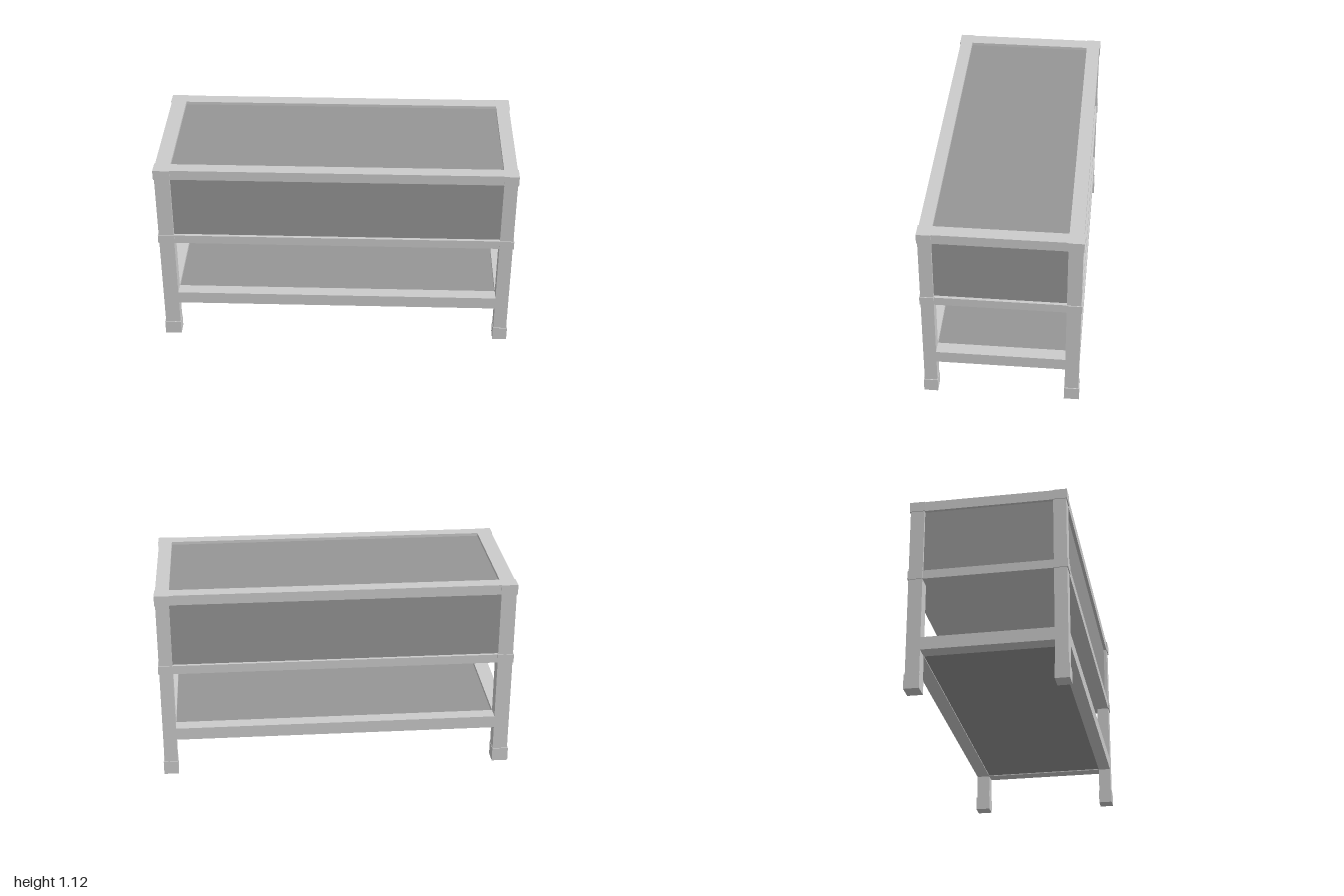
import * as THREE from 'three';

const frameMat = new THREE.MeshStandardMaterial({ color: 0xcccccc });
const panelMat = new THREE.MeshStandardMaterial({ color: 0x969696 });

// Box given by its min and max on each axis
function box(name, [x0, x1], [y0, y1], [z0, z1], mat = frameMat) {
  const mesh = new THREE.Mesh(new THREE.BoxGeometry(x1 - x0, y1 - y0, z1 - z0), mat);
  mesh.position.set((x0 + x1) / 2, (y0 + y1) / 2, (z0 + z1) / 2);
  mesh.name = name;
  return mesh;
}

export function createModel() {
  const model = new THREE.Group();
  model.name = 'planterTable';

  // Post footprints, leaving the opening between them
  const right = [-0.995, -0.91], left = [0.92, 0.995];
  const back = [-0.429, -0.352], front = [0.358, 0.429];
  const spanX = [right[1], left[0]], spanZ = [back[1], front[0]];
  const topY = [1.06, 1.117], baseY = [0.64, 0.69], shelfY = [0.22, 0.292];

  // Posts with feet and corner sleeves that stand slightly proud
  const grow = ([a, b]) => (a < 0 ? [a - 0.005, b + 0.002] : [a - 0.002, b + 0.005]);
  for (const x of [right, left]) for (const z of [back, front]) {
    model.add(box('post', x, [0, 1.115], z));
    model.add(box('foot', grow(x), [0, 0.08], grow(z)));
    for (const y of [topY, baseY]) model.add(box('cornerSleeve', grow(x), y, grow(z)));
  }

  // Rails around the top and the shelf
  for (const [name, y] of [['topRail', topY], ['shelfRail', shelfY]]) {
    for (const z of [back, front]) model.add(box(name, spanX, y, z));
    for (const x of [right, left]) model.add(box(name, x, y, spanZ));
  }

  // Solid floor of the case, reaching out to the post faces
  model.add(box('caseFloorLong', spanX, baseY, [back[0], front[1]]));
  for (const x of [right, left]) model.add(box('caseFloorEnd', x, baseY, spanZ));

  // Recessed side panels between floor and top rails
  const sideY = [baseY[1], topY[0]], inset = 0.018;
  model.add(box('frontPanel', spanX, sideY, [front[0], front[1] - inset], panelMat));
  model.add(box('backPanel', spanX, sideY, [back[0] + inset, back[1]], panelMat));
  model.add(box('leftPanel', [left[0], left[1] - inset], sideY, spanZ, panelMat));
  model.add(box('rightPanel', [right[0] + inset, right[1]], sideY, spanZ, panelMat));

  // Sunken top and shelf boards
  model.add(box('topPanel', spanX, [1.06, 1.1], spanZ, panelMat));
  model.add(box('shelfPanel', spanX, [0.225, 0.272], spanZ, panelMat));
  return model;
}
